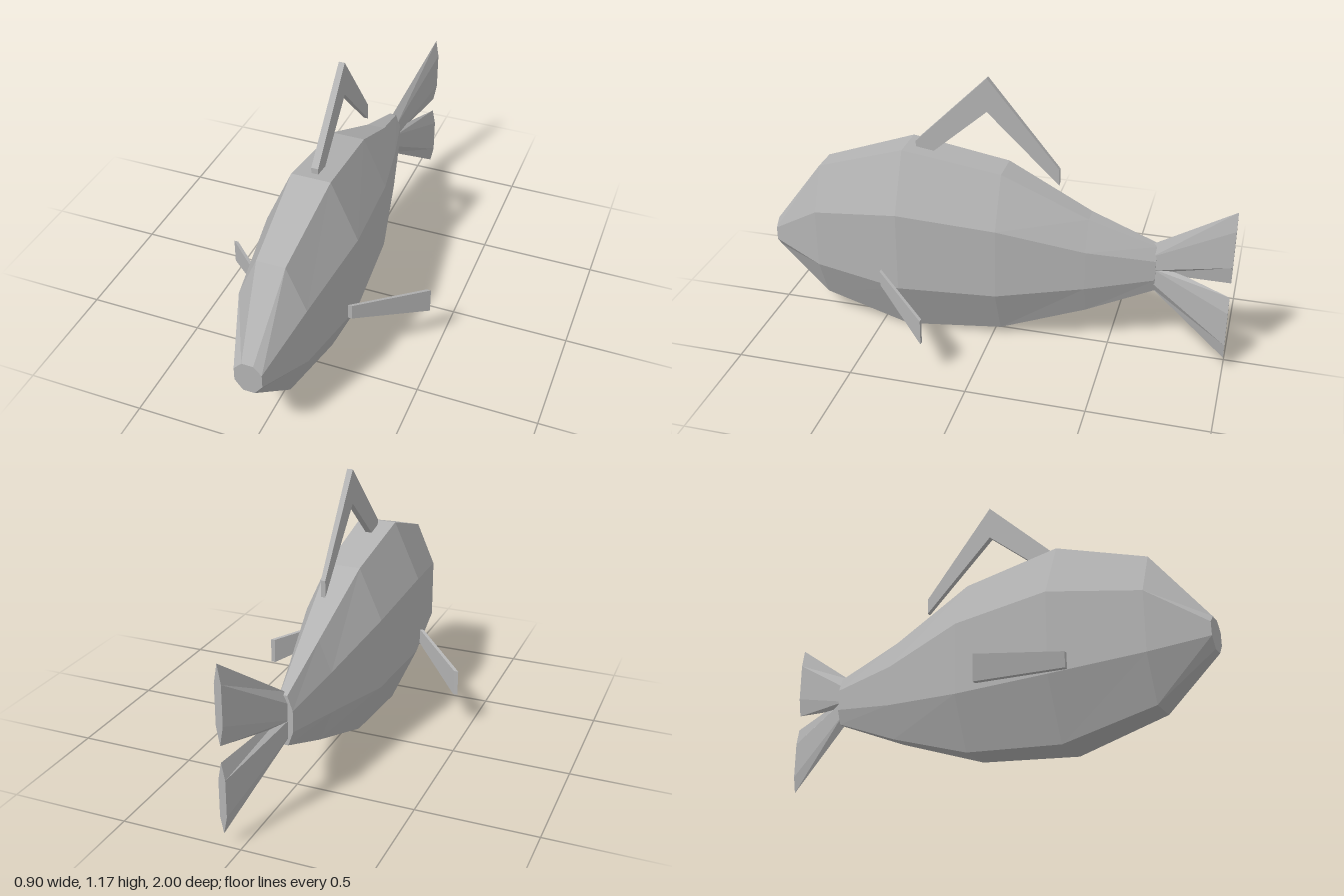
import * as THREE from 'three';

const grey = new THREE.MeshStandardMaterial({ color: 0xb3b3b3 });
grey.name = 'fishGrey';

// Skin a list of { z, ring } sections, front to back; rings run counter-clockwise seen from +z.
function loft(name, sections) {
  const pos = [];
  const tri = (...pts) => pts.forEach((p) => pos.push(...p));
  const rings = sections.map(({ z, ring }) => ring.map(([x, y]) => [x, y, z]));
  const n = rings[0].length;
  for (let i = 0; i < rings.length - 1; i++) {
    for (let j = 0; j < n; j++) {
      const k = (j + 1) % n;
      const a = rings[i][j], b = rings[i][k], an = rings[i + 1][j], bn = rings[i + 1][k];
      tri(a, an, bn);
      tri(a, bn, b);
    }
  }
  // end caps
  const first = rings[0], last = rings[rings.length - 1];
  for (let j = 1; j < n - 1; j++) {
    tri(first[0], first[j], first[j + 1]);
    tri(last[0], last[j + 1], last[j]);
  }
  const geo = new THREE.BufferGeometry();
  geo.setAttribute('position', new THREE.Float32BufferAttribute(pos, 3));
  geo.computeVertexNormals();
  const mesh = new THREE.Mesh(geo, grey);
  mesh.name = name;
  return mesh;
}

// Tall octagon: centre, half width, then bottom, lower side, upper side and top heights
function octagon([z, cx, w, y0, y1, y2, y3]) {
  const t = w * 0.42;
  return { z, ring: [
    [cx - t, y0], [cx + t, y0], [cx + w, y1], [cx + w, y2],
    [cx + t, y3], [cx - t, y3], [cx - w, y2], [cx - w, y1],
  ] };
}

// Upright blade with pointed upper and lower edges
function blade([z, cx, w, y0, y1, y2, y3]) {
  return { z, ring: [
    [cx, y0], [cx + w, y1], [cx + w, y2], [cx, y3], [cx - w, y2], [cx - w, y1],
  ] };
}

function rectangle([z, x0, x1, y0, y1]) {
  return { z, ring: [[x0, y0], [x1, y0], [x1, y1], [x0, y1]] };
}

export function createModel() {
  const fish = new THREE.Group();
  fish.name = 'fish';

  // body, snout to tail root, curving slightly sideways
  fish.add(loft('body', [
    [1, -0.003, 0.057, 0.285, 0.328, 0.385, 0.42],
    [0.77, 0, 0.14, 0.095, 0.28, 0.537, 0.722],
    [0.385, 0, 0.195, 0, 0.25, 0.602, 0.852],
    [-0.035, -0.011, 0.169, 0.038, 0.255, 0.565, 0.782],
    [-0.4, -0.018, 0.092, 0.165, 0.3, 0.475, 0.605],
    [-0.685, -0.036, 0.037, 0.285, 0.345, 0.435, 0.495],
  ].map(octagon)));

  // forked tail
  fish.add(loft('upperTailLobe', [
    [-0.665, -0.034, 0.024, 0.36, 0.385, 0.45, 0.5],
    [-1, 0.066, 0.014, 0.42, 0.5, 0.665, 0.745],
  ].map(blade)));
  fish.add(loft('lowerTailLobe', [
    [-0.665, -0.034, 0.024, 0.29, 0.33, 0.395, 0.42],
    [-1, 0.066, 0.014, 0.055, 0.125, 0.28, 0.352],
  ].map(blade)));

  // bent dorsal fin
  fish.add(loft('dorsalFin', [
    [0.345, -0.015, 0.014, 0.765, 0.87],
    [0.04, -0.02, 0.005, 1.03, 1.175],
    [-0.265, -0.027, -0.008, 0.73, 0.8],
  ].map(rectangle)));

  // side fins, swept back
  for (const [name, s] of [['leftSideFin', 1], ['rightSideFin', -1]]) {
    const section = (z, a, b, y0, y1) =>
      rectangle([z, Math.min(a * s, b * s), Math.max(a * s, b * s), y0, y1]);
    fish.add(loft(name, [
      section(0.463, 0.183, 0.201, 0.258, 0.325),
      section(0.202, 0.431, 0.45, 0.162, 0.274),
    ]));
  }
  return fish;
}
